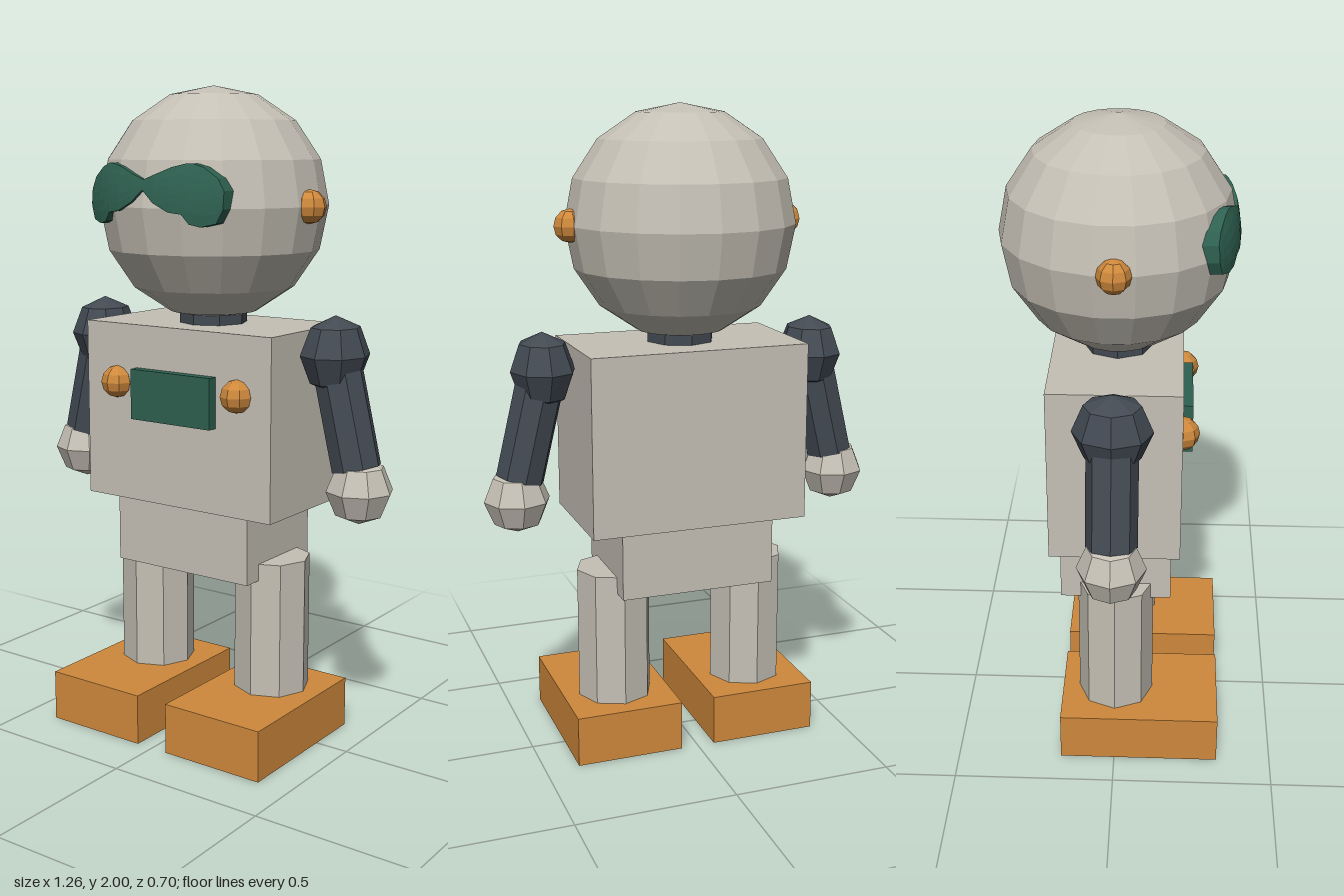
import * as THREE from 'three';

const flat = (name, color) => {
  const m = new THREE.MeshStandardMaterial({ color, flatShading: true });
  m.name = name;
  return m;
};

export function createModel() {
  const grey = flat('warm grey', 0xc5c0b5);
  const orange = flat('orange', 0xcf893c);
  const green = flat('dark green', 0x2e6151);
  const dark = flat('slate', 0x434a53);

  const model = new THREE.Group();
  model.name = 'robot';
  const add = (name, geometry, material, x, y, z) => {
    const mesh = new THREE.Mesh(geometry, material);
    mesh.name = name;
    mesh.position.set(x, y, z);
    model.add(mesh);
    return mesh;
  };
  const box = (w, h, d) => new THREE.BoxGeometry(w, h, d);

  // Body
  add('torso', box(0.685, 0.55, 0.395), grey, 0, 1.015, 0);
  add('hips', box(0.49, 0.25, 0.343), grey, 0, 0.653, 0);
  add('chestPanel', box(0.295, 0.155, 0.06), green, 0, 1.08, 0.199);
  add('neck', new THREE.CylinderGeometry(0.105, 0.105, 0.14, 8), dark, 0, 1.33, 0);

  // Head, with a column of corners on the front centre line
  const headY = 1.65;
  add('head', new THREE.SphereGeometry(0.35, 18, 8), grey, 0, headY, 0).rotation.y = Math.PI / 2;

  // Visor: bow-tie outline (x, top, bottom) wrapped over the head, rim sunk into it
  const half = [
    [0, 1.73, 1.70], [0.04, 1.745, 1.665], [0.09, 1.765, 1.64], [0.13, 1.775, 1.635],
    [0.15, 1.775, 1.608], [0.18, 1.765, 1.60], [0.22, 1.735, 1.61], [0.238, 1.70, 1.65],
  ];
  half.push(half[half.length - 1]);
  const columns = [...half.slice(1).reverse().map(([x, t, b]) => [-x, t, b]), ...half];
  const rows = 7;
  const visor = new THREE.PlaneGeometry(1, 1, columns.length - 1, rows);
  const pos = visor.attributes.position;
  for (let i = 0; i < pos.count; i++) {
    const c = i % columns.length, r = Math.floor(i / columns.length);
    const [x, top, bottom] = columns[c];
    const t = THREE.MathUtils.clamp((r - 1) / (rows - 2), 0, 1);
    const y = top + (bottom - top) * t - headY;
    const rim = r === 0 || r === rows || c === 0 || c === columns.length - 1;
    const radius = rim ? 0.325 : 0.352 + 0.09 * Math.abs(x);
    pos.setXYZ(i, x, y, Math.sqrt(radius * radius - x * x - y * y));
  }
  visor.computeVertexNormals();
  add('visor', visor, green, 0, headY, 0);

  // Paired parts
  const knob = new THREE.SphereGeometry(0.05, 8, 6);
  for (const [side, s] of [['left', 1], ['right', -1]]) {
    add(side + 'Ear', knob, orange, s * 0.343, headY, 0);
    add(side + 'ChestKnob', knob, orange, s * 0.224, 1.108, 0.199);

    add(side + 'Shoulder', new THREE.SphereGeometry(0.116, 8, 4), dark, s * 0.436, 1.225, 0)
      .scale.x = 0.86;
    add(side + 'Hand', new THREE.SphereGeometry(0.102, 8, 4), grey, s * 0.526, 0.83, 0);

    // Arm slopes outward from shoulder to wrist
    const from = new THREE.Vector3(s * 0.436, 1.225, 0);
    const to = new THREE.Vector3(s * 0.515, 0.895, 0);
    const dir = from.clone().sub(to);
    const mid = from.clone().add(to).multiplyScalar(0.5);
    add(side + 'Arm', new THREE.CylinderGeometry(0.075, 0.075, dir.length(), 8), dark, mid.x, mid.y, 0)
      .rotation.z = -Math.atan2(dir.x, dir.y);

    add(side + 'Leg', new THREE.CylinderGeometry(0.118, 0.118, 0.44, 8), grey, s * 0.224, 0.36, 0);
    add(side + 'Foot', box(0.34, 0.158, 0.5), orange, s * 0.224, 0.079, 0.079);
  }
  return model;
}
